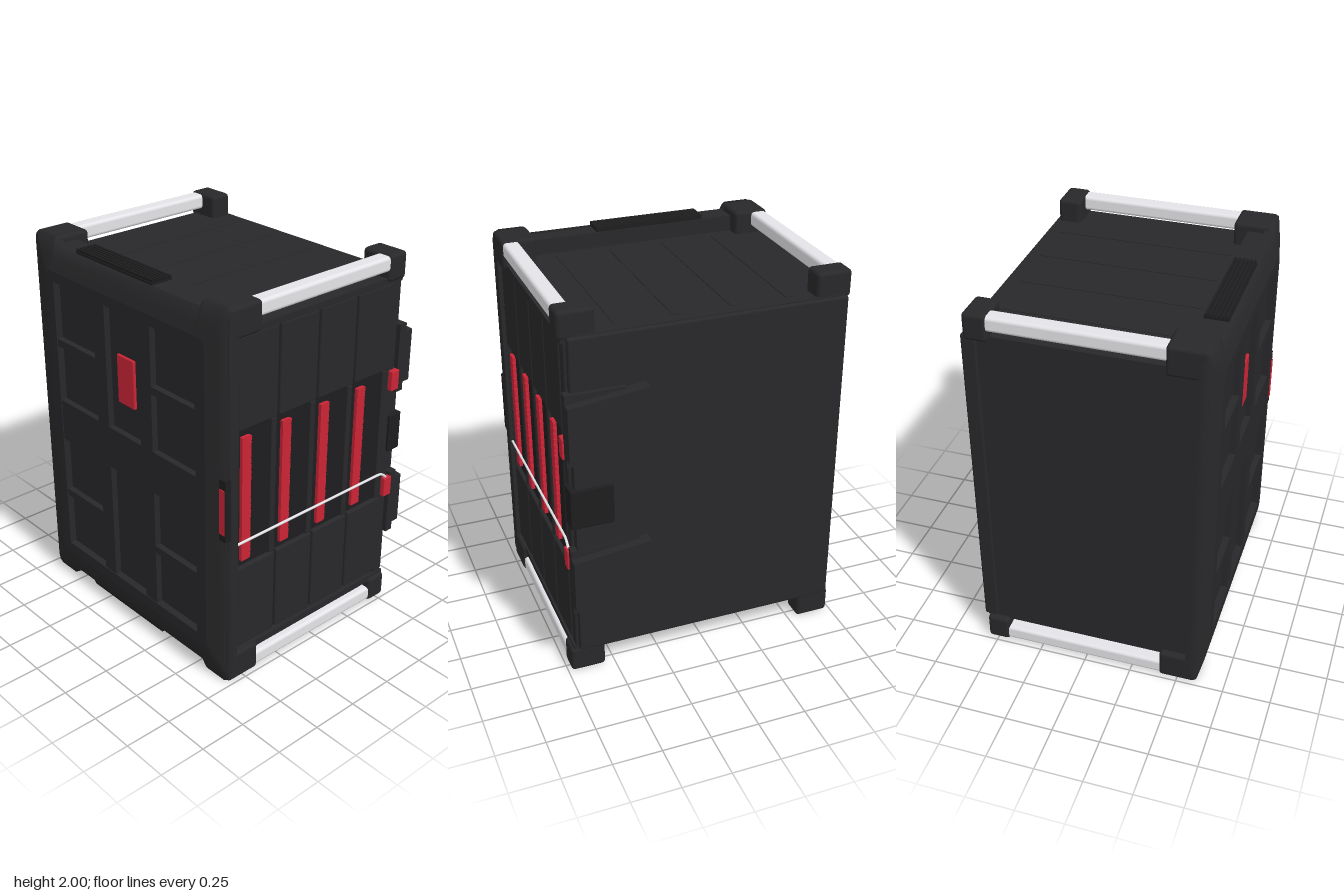
import * as THREE from 'three';
import { RoundedBoxGeometry } from 'three/addons/geometries/RoundedBoxGeometry.js';

const mat = (color) => new THREE.MeshStandardMaterial({ color });
const shell = mat(0x28282a), dark = mat(0x1d1d1f), red = mat(0xcc2436), metal = mat(0xe4e4e8);

export function createModel() {
  const model = new THREE.Group();

  const add = (name, geometry, material) => {
    const mesh = new THREE.Mesh(geometry, material);
    mesh.name = name;
    model.add(mesh);
    return mesh;
  };
  // Box given by its limits on each axis, optionally with rounded edges
  const box = (name, [x0, x1], [y0, y1], [z0, z1], material = shell, r = 0) => {
    const s = [x1 - x0, y1 - y0, z1 - z0];
    const g = r ? new RoundedBoxGeometry(...s, 2, r) : new THREE.BoxGeometry(...s);
    const mesh = add(name, g, material);
    mesh.position.set((x0 + x1) / 2, (y0 + y1) / 2, (z0 + z1) / 2);
    return mesh;
  };
  // Flat plate between two z levels
  const plate = (name, shape, z0, z1) => {
    const g = new THREE.ExtrudeGeometry(shape, { depth: z1 - z0, bevelEnabled: false });
    add(name, g, shell).position.z = z0;
  };
  // Range mirrored about a centre
  const flip = ([a, b], s, c = 0) => (s > 0 ? [a, b] : [2 * c - b, 2 * c - a]);
  const rectPath = (Type, [x0, x1], [y0, y1]) => {
    const p = new Type();
    p.moveTo(x0, y0).lineTo(x1, y0).lineTo(x1, y1).lineTo(x0, y1).closePath();
    return p;
  };

  // Body core and back panel
  box('body', [-0.7, 0.67], [0.13, 1.88], [-0.56, 0.545]);
  box('backPanel', [-0.71, 0.69], [0.14, 1.875], [-0.578, -0.5], shell, 0.012);

  // Door slab
  box('doorSlab', [-0.73, 0.73], [0.045, 1.955], [0.54, 0.602]);

  // Door outline: one quarter, outer edge and matching inner edge, then mirrored
  const quarter = [
    [0.732, 0.95, 0.61, 0.78], [0.725, 0.985, 0.603, 0.815], [0.7, 1, 0.575, 0.835],
    [0.57, 1, 0.55, 0.835], [0.555, 0.99, 0.54, 0.835], [0.54, 0.962, 0.53, 0.835],
  ];
  const outline = [[1, 1], [-1, 1], [-1, -1], [1, -1]].flatMap(([sx, sy], q) => {
    const points = quarter.map(([a, b, c, d]) => [a * sx, 1 + b * sy, c * sx, 1 + d * sy]);
    return q % 2 ? points.reverse() : points;
  });
  const n = outline.length, rings = [[0, 0.56], [0, 0.6], [0.5, 0.623], [1, 0.64]];
  const position = rings.flatMap(([t, z]) =>
    outline.flatMap(([a, b, c, d]) => [a + (c - a) * t, b + (d - b) * t, z]));
  const index = [];
  for (let r = 0; r < rings.length - 1; r++)
    for (let i = 0; i < n; i++) {
      const a = r * n + i, b = r * n + (i + 1) % n;
      index.push(a, b, b + n, a, b + n, a + n);
    }
  const bevel = new THREE.BufferGeometry();
  bevel.setAttribute('position', new THREE.Float32BufferAttribute(position, 3));
  bevel.setIndex(index);
  bevel.computeVertexNormals();
  add('doorBevel', bevel, shell);

  // Door face frame, with a slightly sunken grid of pockets
  const face = new THREE.Shape(outline.map(([, , x, y]) => new THREE.Vector2(x, y)));
  face.holes.push(rectPath(THREE.Path, [-0.543, 0.543], [0.23, 1.78]));
  plate('doorFace', face, 0.602, 0.64);
  const grid = rectPath(THREE.Shape, [-0.57, 0.57], [0.2, 1.81]);
  for (const s of [1, -1]) {
    grid.holes.push(rectPath(THREE.Path, [-0.13, 0.13], flip([1.12, 1.78], s, 1.005)));
    for (const side of [1, -1])
      for (const y of [[1.12, 1.43], [1.47, 1.78]])
        grid.holes.push(rectPath(THREE.Path, flip([0.22, 0.543], side), flip(y, s, 1.005)));
  }
  plate('doorGrid', grid, 0.602, 0.635);
  box('doorButton', [-0.065, 0.065], [1.28, 1.54], [0.6, 0.618], red, 0.006);

  // Door latch on the left edge
  box('latchBase', [0.69, 0.735], [0.84, 1.17], [0.59, 0.624], dark);
  box('latchHandle', [0.695, 0.729], [0.88, 1.12], [0.6, 0.629], red);

  // Top and bottom: front strip, grille, surface ribs, corner blocks and rails
  for (const s of [1, -1]) {
    const up = (y) => flip(y, s, 1);
    box('frontStrip', [-0.56, 0.56], up([1.86, 1.962]), [0.475, 0.598]);
    box('grilleBase', [-0.385, 0.205], up([1.955, 1.972]), [0.48, 0.6], dark);
    for (let i = 0; i < 6; i++) {
      const z = 0.485 + i * 0.0195;
      box('grilleSlat', [-0.385, 0.205], up([1.965, 1.985]), [z, z + 0.012], dark);
    }
    for (const x of [-0.45, -0.165, 0.125, 0.41])
      box('panelRib', [x, x + 0.037], up([1.875, 1.884]), [-0.5, 0.42]);
    for (const side of [1, -1]) {
      box('frontCorner', flip([0.55, 0.732], side), up([1.845, 2]), [0.4, 0.6], shell, 0.02);
      box('rearCorner', flip([0.55, 0.732], side), up([1.86, 2]), [-0.555, -0.435], shell, 0.02);
      box('rail', flip([0.64, 0.725], side), up([1.915, 1.992]), [-0.46, 0.42], metal, 0.018);
    }
    box('sideBorder', [0.6, 0.715], up([1.845, 1.88]), [-0.55, 0.53]);
  }

  // Left side wall: posts, four bays with panels, recess and red toothed strip
  box('rearPost', [0.6, 0.705], [0.15, 1.86], [-0.55, -0.49], shell, 0.01);
  box('frontPost', [0.6, 0.71], [0.15, 1.86], [0.522, 0.53]);
  box('doorSeal', [0.6, 0.69], [0.17, 1.84], [0.53, 0.539], metal);
  for (let i = 0; i < 4; i++) {
    const z1 = 0.521 - i * 0.257, z0 = z1 - 0.245;
    box('lowerPanel', [0.62, 0.712], [0.172, 0.635], [z0, z1], shell, 0.01);
    box('upperPanel', [0.62, 0.712], [1.38, 1.845], [z0, z1], shell, 0.01);
    box('recess', [0.6, 0.69], [0.635, 1.38], [z0, z1], dark);
    box('bayDivider', [0.62, 0.708], [0.635, 1.38], [z0, z0 + 0.035], shell, 0.008);
    box('redStrip', [0.66, 0.708], [0.67, 1.34], [z1 - 0.071, z1 - 0.025], red);
    for (let k = 0; k < 22; k++) {
      const y = 0.672 + k * 0.0305;
      box('stripTooth', [0.66, 0.708], [y, y + 0.025], [z1 - 0.082, z1 - 0.07], red);
    }
  }

  // Red clips and the cable leading to the lower one
  for (const y of [[1.26, 1.37], [0.64, 0.75]])
    box('clip', [0.65, 0.732], y, [-0.56, -0.505], red, 0.006);
  const path = new THREE.CurvePath();
  const P = (y, z) => new THREE.Vector3(0.716, y, z);
  path.add(new THREE.LineCurve3(P(0.783, 0.54), P(0.783, -0.47)));
  path.add(new THREE.QuadraticBezierCurve3(P(0.783, -0.47), P(0.783, -0.5), P(0.74, -0.535)));
  add('cable', new THREE.TubeGeometry(path, 60, 0.007, 8), metal);

  // Hinges on the back
  box('hingeStrip', [0.37, 0.69], [0.6, 1.4], [-0.597, -0.56]);
  box('hingeCentre', [0.5, 0.718], [0.9, 1.11], [-0.612, -0.525], dark, 0.006);
  for (const y of [1.425, 0.585]) {
    const wing = new THREE.Shape();
    wing.moveTo(0.325, y - 0.185).lineTo(0.722, y - 0.14).lineTo(0.722, y + 0.14).lineTo(0.325, y + 0.185).closePath();
    plate('hingeWing', wing, -0.645, -0.565);
    box('hingeBase', [0.42, 0.722], [y - 0.185, y + 0.185], [-0.6, -0.553]);
  }
  return model;
}
